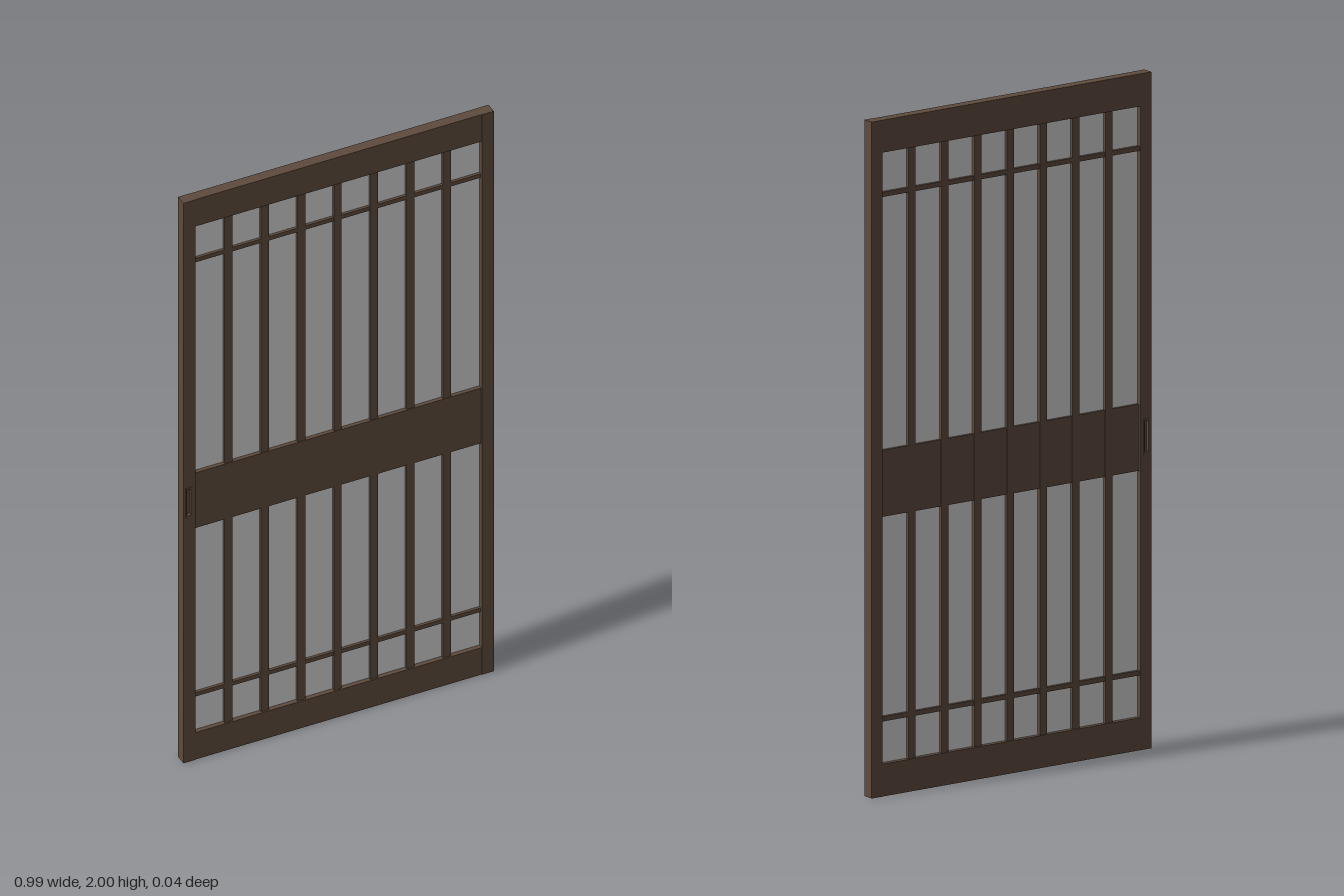
import * as THREE from 'three';

const wood = new THREE.MeshStandardMaterial({ color: 0x5e4b3d });
wood.name = 'dark brown wood';
const pane = new THREE.MeshStandardMaterial({ color: 0xd2d2d2 });
pane.name = 'pale grey pane';

function rectangle(Type, x0, x1, y0, y1) {
  const r = new Type();
  r.moveTo(x0, y0);
  r.lineTo(x1, y0);
  r.lineTo(x1, y1);
  r.lineTo(x0, y1);
  r.closePath();
  return r;
}

export function createModel() {
  const door = new THREE.Group();
  door.name = 'slidingDoor';

  const add = (name, geometry, material = wood) => {
    const mesh = new THREE.Mesh(geometry, material);
    mesh.name = name;
    door.add(mesh);
    return mesh;
  };
  // Box given by its limits in x, y and z
  const box = (name, x0, x1, y0, y1, z0, z1, material) =>
    add(name, new THREE.BoxGeometry(x1 - x0, y1 - y0, z1 - z0), material)
      .position.set((x0 + x1) / 2, (y0 + y1) / 2, (z0 + z1) / 2);
  // Upright board with a rectangular opening
  const pierced = (name, outer, inner, z0, z1) => {
    const shape = rectangle(THREE.Shape, ...outer);
    shape.holes.push(rectangle(THREE.Path, ...inner));
    const geometry = new THREE.ExtrudeGeometry(shape, { depth: z1 - z0, bevelEnabled: false });
    add(name, geometry.translate(0, 0, z0));
  };

  const edge = 0.497, inner = 0.458, depth = 0.0175;
  const pull = [-0.486, -0.473, 0.88, 0.972];

  // Stiles; the right one has a finger pull sunk into both faces
  box('leftStile', inner, edge, 0, 2, -depth, depth);
  pierced('rightStile', [-edge, -inner, 0, 2], pull, -depth, depth);
  box('pullFloor', pull[0], pull[1], pull[2], pull[3], -0.008, 0.008);
  for (const [side, z] of [['front', depth], ['back', -depth]]) {
    pierced(side + 'PullRim', [-0.49, -0.469, 0.873, 0.979], pull, z - 0.001, z + 0.001);
  }

  // Rails
  box('topRail', -inner, inner, 1.904, 2, -0.0168, 0.0162);
  box('bottomRail', -inner, inner, 0, 0.096, -0.0168, 0.0162);
  box('middleRail', -inner, inner, 0.825, 1.022, -0.0105, 0.014);

  // Panes
  box('upperPane', -inner, inner, 1.022, 1.904, -0.002, 0.002, pane);
  box('lowerPane', -inner, inner, 0.096, 0.825, -0.002, 0.002, pane);

  // Vertical bars, which pass behind the middle rail
  for (let i = -3; i <= 3; i++) {
    const x = i * 0.1165;
    box('verticalBar', x - 0.0125, x + 0.0125, 0.096, 1.904, -0.0125, 0.0115);
  }

  // Thin crossbars
  for (const y of [0.227, 1.778]) {
    box('crossbar', -inner, inner, y - 0.007, y + 0.007, -0.0115, 0.0105);
  }

  return door;
}
